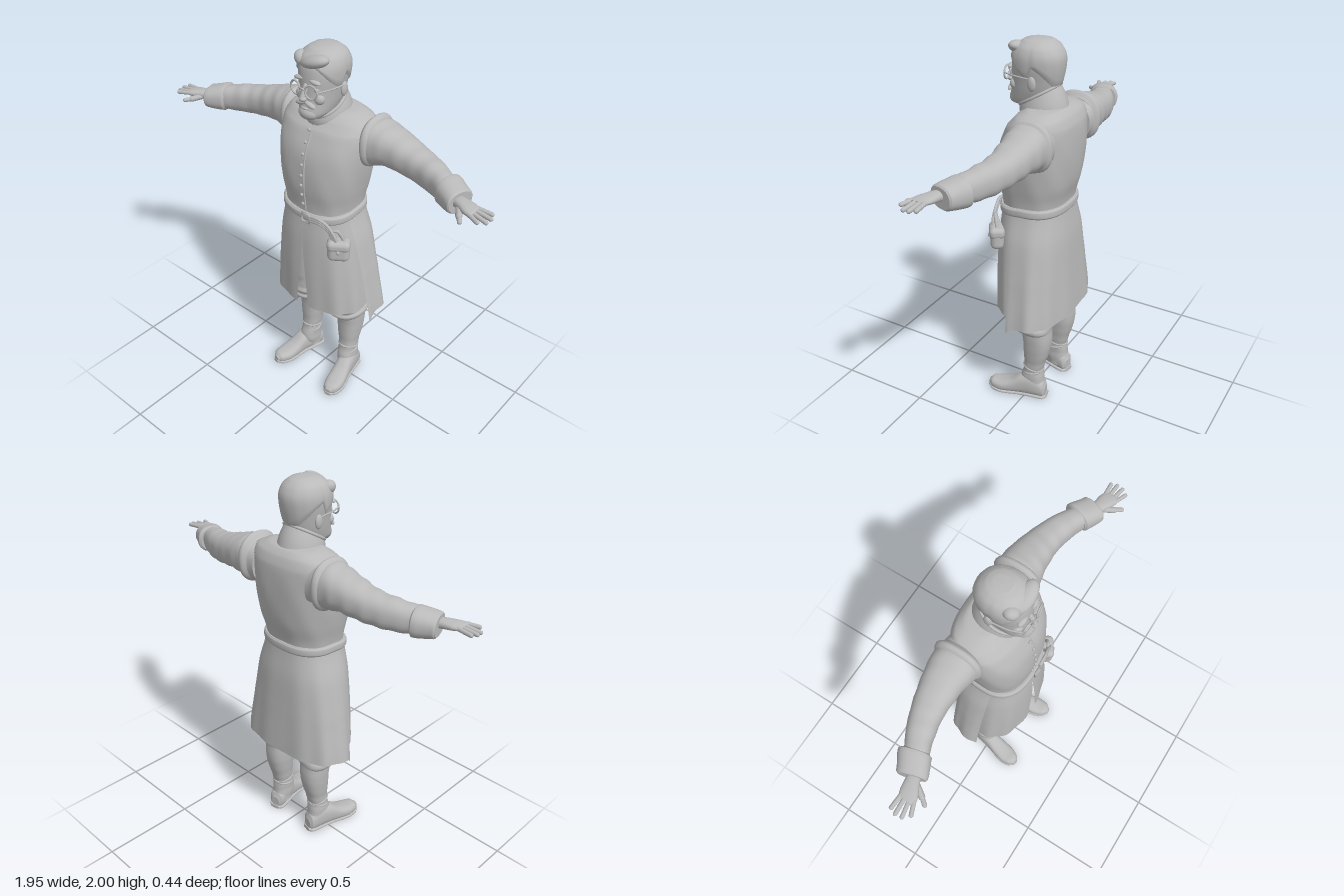
import * as THREE from 'three';
import { mergeGeometries } from 'three/addons/utils/BufferGeometryUtils.js';
import { RoundedBoxGeometry } from 'three/addons/geometries/RoundedBoxGeometry.js';

const grey = new THREE.MeshStandardMaterial({ color: 0xbababa, side: THREE.DoubleSide });
grey.name = 'clay grey';
const V = (x, y, z) => new THREE.Vector3(x, y, z);

// Smooth surface through rows of points; closed rows share their seam
function skin(rows, closed) {
  const n = rows[0].length, pos = [], idx = [];
  rows.forEach(r => r.forEach(p => pos.push(p.x, p.y, p.z)));
  for (let i = 0; i < rows.length - 1; i++) {
    for (let j = 0; j < (closed ? n : n - 1); j++) {
      const a = i * n + j, b = i * n + (j + 1) % n;
      idx.push(a, b, b + n, a, b + n, a + n);
    }
  }
  const g = new THREE.BufferGeometry();
  g.setAttribute('position', new THREE.Float32BufferAttribute(pos, 3));
  g.setIndex(idx);
  g.computeVertexNormals();
  return g;
}

// Keys: [along, centre, halfWidth, low, high]; smooth interpolation at a position
function sample(keys, y) {
  const up = keys[1][0] > keys[0][0];
  let i = 0;
  while (i < keys.length - 2 && (up ? y > keys[i + 1][0] : y < keys[i + 1][0])) i++;
  const f = (y - keys[i][0]) / (keys[i + 1][0] - keys[i][0]);
  const k = d => keys[Math.max(0, Math.min(keys.length - 1, i + d))];
  return keys[i].map((_, c) => {
    if (c === 0) return y;
    const m0 = (k(1)[c] - k(-1)[c]) / 2, m1 = (k(2)[c] - k(0)[c]) / 2;
    const f2 = f * f, f3 = f2 * f;
    return (2 * f3 - 3 * f2 + 1) * k(0)[c] + (f3 - 2 * f2 + f) * m0 + (3 * f2 - 2 * f3) * k(1)[c] + (f3 - f2) * m1;
  });
}
const pw = (v, p) => Math.sign(v) * Math.pow(Math.abs(v), p);

// Point of a rounded section at angle a (0 faces the "high" side)
function sectionPoint(keys, y, a, p = 0.85, s = 1) {
  const [, c, w, lo, hi] = sample(keys, y);
  return V(c + s * w * pw(Math.sin(a), p), y, (lo + hi) / 2 + s * (hi - lo) / 2 * pw(Math.cos(a), p));
}

// Capped body along an axis: y (x, z), x (z, y) or z (y, x)
function loft(keys, { axis = 'y', p = 0.85, n = 32, steps = 5, fold = null } = {}) {
  const map = { y: q => q, x: q => V(q.y, q.z, q.x), z: q => V(q.z, q.x, q.y) }[axis];
  const ys = [];
  for (let i = 0; i < keys.length - 1; i++) {
    for (let k = 0; k < steps; k++) ys.push(THREE.MathUtils.lerp(keys[i][0], keys[i + 1][0], k / steps));
  }
  ys.push(keys[keys.length - 1][0]);
  const row = (y, s) => Array.from({ length: n }, (_, j) => {
    const a = j / n * Math.PI * 2;
    return map(sectionPoint(keys, y, a, p, s * (fold ? fold(y, a) : 1)));
  });
  const e = ys[ys.length - 1];
  return skin([row(ys[0], 0), row(ys[0], 1), ...ys.map(y => row(y, 1)), row(e, 1), row(e, 0)], true);
}

const tube = (pts, r, closed = false) => new THREE.TubeGeometry(
  new THREE.CatmullRomCurve3(pts.map(p => V(...p)), closed), closed ? 48 : 16, r, 8, closed);
const ball = (x, y, z, rx, ry, rz) => new THREE.SphereGeometry(1, 20, 14).scale(rx, ry, rz).translate(x, y, z);
const capsule = (a, b, r) => {
  const A = V(...a), d = V(...b).sub(A);
  const q = new THREE.Quaternion().setFromUnitVectors(V(0, 1, 0), d.clone().normalize());
  return new THREE.CapsuleGeometry(r, d.length(), 4, 10).applyQuaternion(q).translate(...A.addScaledVector(d, 0.5).toArray());
};
const merge = list => mergeGeometries(list.map(g => {
  const m = g.index ? g.toNonIndexed() : g;
  m.deleteAttribute('uv');
  return m;
}));
// Mirror across x and restore the face order
function mirrored(geo) {
  const g = geo.index ? geo.toNonIndexed() : geo.clone();
  g.scale(-1, 1, 1);
  for (const at of Object.values(g.attributes)) {
    for (let i = 0; i < at.count; i += 3) {
      for (let c = 0; c < at.itemSize; c++) {
        const t = at.getComponent(i + 1, c);
        at.setComponent(i + 1, c, at.getComponent(i + 2, c));
        at.setComponent(i + 2, c, t);
      }
    }
  }
  return g;
}

export function createModel() {
  const model = new THREE.Group();
  model.name = 'coatedMan';
  const add = (name, geo) => {
    const m = new THREE.Mesh(geo, grey);
    m.name = name;
    model.add(m);
  };
  const pair = (name, geo) => { add(name + 'Left', geo); add(name + 'Right', mirrored(geo)); };

  // Coat body
  const torso = [[1.14, 0, .2, -.165, .168], [1.2, 0, .203, -.165, .17], [1.3, 0, .222, -.19, .182],
    [1.4, 0, .238, -.202, .18], [1.5, 0, .248, -.206, .163], [1.6, 0, .25, -.2, .118],
    [1.65, 0, .225, -.18, .07], [1.68, 0, .15, -.15, .03], [1.69, 0, .06, -.1, 0]];
  add('coatBody', loft(torso, { p: .8, n: 48, fold: (y, a) => 1 + .006 * Math.sin(a * 9 + y * 22) * (y < 1.6 ? 1 : 0) }));
  const frontAt = y => sample(torso, y)[4];
  add('coatSeam', tube([1.16, 1.25, 1.35, 1.45, 1.55, 1.63].map(y => [.014, y, frontAt(y) - .001]), .005));
  add('buttons', merge(Array.from({ length: 8 }, (_, i) => {
    const y = 1.21 + i * .056;
    return ball(0, y, frontAt(y) + .004, .009, .009, .007);
  })));

  // Coat skirt: two front panels and one flared back panel
  const front = [[1.17, 0, .2, -.16, .17], [1, 0, .232, -.18, .186], [.8, 0, .256, -.19, .192], [.56, 0, .278, -.2, .19]];
  const back = [[1.17, 0, .2, -.166, .165], [1, 0, .25, -.188, .165], [.8, 0, .29, -.2, .15], [.5, 0, .336, -.216, .14]];
  const panel = (keys, from, to, hem, nu) => skin(Array.from({ length: 25 }, (_, i) =>
    Array.from({ length: nu + 1 }, (_, j) => {
      const u = j / nu, t = i / 24, y = THREE.MathUtils.lerp(hem(u), 1.17, t);
      const gap = Math.max(0, (1 - y) / .43) * .038 + .001;
      const a0 = from === null ? Math.pow(gap / sample(keys, y)[2], 1 / .8) : from;
      const a = THREE.MathUtils.lerp(a0, to, u);
      return sectionPoint(keys, y, a, .8, 1 + .018 * (1 - t) * Math.sin(a * 11));
    })), false);
  pair('frontSkirt', panel(front, null, 1.62, u => .565 + .015 * u * u, 24));
  add('backSkirt', panel(back, 1.3, 2 * Math.PI - 1.3, u => .55 - .045 * Math.pow(Math.abs(2 * u - 1), 14), 72));

  // Belt, buckle, hanging strap and pouch
  const belt = [[1.143, 0, .208, -.17, .177], [1.152, 0, .214, -.176, .183], [1.18, 0, .214, -.176, .184], [1.19, 0, .207, -.17, .177]];
  const beltGeo = loft(belt, { p: .8, n: 48 });
  const bp = beltGeo.attributes.position;
  for (let i = 0; i < bp.count; i++) bp.setY(i, bp.getY(i) - .13 * Math.max(0, bp.getZ(i)));
  add('belt', beltGeo);
  add('buckle', new THREE.TorusGeometry(.033, .006, 8, 4).rotateZ(Math.PI / 4).translate(.03, 1.145, .19));
  add('beltStrap', merge([0, .012, .024].map(d => tube([[.05, 1.135 + d, .185], [.11, 1.14 + d, .182], [.155, 1.12 + d, .172],
    [.175 + d, 1.09, .165], [.185 + d, 1.05, .16]], .008))));
  const pouch = [new RoundedBoxGeometry(.115, .115, .07, 4, .03).translate(0, -.005, 0),
    new RoundedBoxGeometry(.12, .06, .08, 4, .025).translate(0, .03, 0), ball(0, .005, .04, .01, .012, .006)];
  add('pouch', merge(pouch).rotateY(.6).translate(.205, 1.005, .14));
  add('pouchLoop', tube([[.18, 1.05, .14], [.17, 1.1, .165], [.2, 1.12, .15], [.23, 1.05, .12]], .009));

  // Collar, slanting down towards the front
  const collarRow = (t, g = 0) => Array.from({ length: 40 }, (_, j) => {
    const a = j / 40 * Math.PI * 2, c = Math.cos(a);
    return V((.112 - .02 * t + g) * Math.sin(a), 1.635 + .09 * t - (.035 + .025 * t) * c, -.03 + .03 * t + (.118 - .016 * t + g) * c);
  });
  add('collar', skin([0, .25, .5, .75, 1].map(t => collarRow(t, .006 * Math.sin(t * Math.PI))), true));
  add('collarRim', tube(collarRow(1).map(p => p.toArray()), .008, true));
  add('neck', loft([[1.6, 0, .08, -.1, .06], [1.68, 0, .075, -.09, .075], [1.78, 0, .072, -.085, .07]]));

  // Sleeves with wrinkles, shoulder seams and cuffs
  pair('sleeve', loft([[.18, -.08, .1, 1.44, 1.64], [.27, -.08, .112, 1.44, 1.665], [.35, -.085, .1, 1.457, 1.645],
    [.5, -.075, .08, 1.445, 1.603], [.62, -.043, .07, 1.436, 1.583], [.74, .005, .06, 1.44, 1.56]],
  { axis: 'x', steps: 10, fold: (x, a) => 1 + .028 * Math.sin(x * 75 + 2 * Math.sin(a)) * Math.cos(a - .6) }));
  pair('shoulderSeam', loft([[.215, -.08, .1, 1.44, 1.655], [.24, -.08, .122, 1.425, 1.682], [.26, -.08, .122, 1.428, 1.678],
    [.278, -.08, .108, 1.445, 1.655]], { axis: 'x' }));
  const cuff = loft([[.685, -.015, .064, 1.438, 1.562], [.695, -.012, .074, 1.43, 1.572], [.75, .012, .072, 1.432, 1.562],
    [.795, .03, .069, 1.438, 1.552], [.803, .034, .062, 1.445, 1.545]], { axis: 'x' });
  const cp = cuff.attributes.position;
  for (let i = 0; i < cp.count; i++) cp.setX(i, cp.getX(i) - .3 * (cp.getZ(i) - .015));
  cuff.computeVertexNormals();
  pair('cuff', cuff);

  // Hands, palms down
  const hand = [loft([[.76, .035, .032, 1.475, 1.525], [.81, .05, .036, 1.482, 1.528], [.86, .066, .045, 1.488, 1.525],
    [.89, .074, .043, 1.494, 1.52], [.9, .076, .036, 1.498, 1.516]], { axis: 'x', n: 20 })];
  [[.885, .042, .955, .037], [.89, .063, .967, .066], [.885, .085, .963, .098], [.875, .104, .937, .128]].forEach(
    ([x, z, x2, z2], i) => hand.push(capsule([x, 1.508, z], [x2, 1.503 - .003 * (i % 3), z2], .0105)));
  hand.push(capsule([.815, 1.496, .075], [.845, 1.488, .12], .015), capsule([.845, 1.488, .12], [.868, 1.485, .15], .011));
  pair('hand', merge(hand));

  // Breeches gathered below the knee
  pair('breeches', loft([[.44, .137, .078, -.125, .035], [.46, .137, .096, -.14, .07], [.485, .135, .102, -.142, .092],
    [.505, .134, .093, -.134, .088], [.53, .132, .101, -.14, .104], [.56, .13, .094, -.132, .095], [.62, .128, .098, -.135, .1],
    [.8, .118, .1, -.14, .11], [1, .105, .1, -.14, .12], [1.15, .095, .09, -.13, .12]],
  { fold: (y, a) => 1 + .02 * Math.sin(y * 70 + a * 3) }));

  // Tall boots: shaft, turned-out foot and sole
  pair('bootShaft', loft([[.04, .143, .048, -.1, .01], [.11, .142, .05, -.1, .035], [.17, .14, .049, -.094, .021],
    [.22, .139, .052, -.102, .014], [.3, .138, .063, -.126, .016], [.38, .137, .071, -.14, .018], [.47, .137, .074, -.138, .03]],
  { fold: (y, a) => 1 + .02 * Math.sin(y * 95 + Math.sin(a)) * (y < .25 ? 1 : .2) }));
  pair('bootCreases', merge([.165, .195].map((y, i) => tube([0, 1, 2, 3, 4, 5, 6, 7].map(k => {
    const a = k * Math.PI / 4;
    return [.14 + .05 * Math.sin(a), y + .012 * Math.cos(a) * (i ? 1 : -1), -.038 + .056 * Math.cos(a)];
  }), .006, true))));
  const turn = g => g.translate(0, 0, .04).rotateY(.2).translate(.147, 0, -.04);
  pair('foot', turn(loft([[-.112, .045, .03, -.025, .025], [-.1, .055, .05, -.042, .042], [-.04, .075, .07, -.049, .05],
    [.03, .067, .062, -.044, .05], [.09, .047, .043, -.048, .054], [.15, .037, .033, -.05, .056],
    [.2, .036, .028, -.037, .042], [.222, .034, .014, -.016, .018]], { axis: 'z', p: .8 })));
  pair('sole', turn(loft([[-.118, .01, .01, -.028, .028], [-.1, .01, .01, -.046, .046], [-.03, .01, .01, -.045, .045],
    [.04, .01, .01, -.042, .047], [.14, .01, .01, -.054, .06], [.2, .012, .01, -.04, .045],
    [.226, .016, .009, -.016, .018]], { axis: 'z', p: .6 })));

  // Head
  const head = [[1.663, 0, .03, .05, .13], [1.675, 0, .055, .01, .15], [1.7, 0, .076, -.05, .156], [1.75, 0, .09, -.09, .147],
    [1.81, 0, .1, -.108, .142], [1.87, 0, .109, -.118, .14], [1.92, 0, .109, -.117, .132], [1.96, 0, .094, -.096, .11],
    [1.985, 0, .064, -.065, .075], [1.994, 0, .03, -.03, .04]];
  add('head', loft(head, { p: .92, n: 40 }));
  // Hair shell with its edge low at the nape and high at the brow
  const edge = a => 1.845 + .055 * Math.cos(a) - .035 * Math.cos(2 * a) * (Math.cos(a) < 0 ? 1 : -1);
  add('hair', skin(Array.from({ length: 17 }, (_, i) => Array.from({ length: 48 }, (_, j) => {
    const a = j / 48 * Math.PI * 2, t = i / 16, y = THREE.MathUtils.lerp(edge(a), 1.993, 1 - (1 - t) ** 2);
    const q = sectionPoint(head, y, a, .92, i === 16 ? 0 : i ? 1.06 + .006 * Math.sin(a * 14 + t * 5) : .97);
    return q.setY(q.y + .006 * t);
  })), true));
  add('forelock', merge([ball(0, 0, 0, .082, .032, .045).rotateZ(.3).translate(.02, 1.945, .1),
    ball(0, 0, 0, .045, .034, .04).rotateZ(-.6).translate(-.065, 1.935, .085)]));
  pair('ear', ball(.104, 1.8, -.01, .012, .036, .022));

  // Face, beard and spectacles
  add('nose', merge([capsule([0, 1.835, .138], [0, 1.785, .164], .014), ball(0, 1.78, .163, .02, .014, .017)]));
  pair('brow', ball(0, 0, 0, .034, .011, .016).rotateZ(-.12).translate(.045, 1.862, .128));
  pair('cheek', ball(.05, 1.775, .108, .032, .03, .026));
  pair('eye', ball(.045, 1.822, .12, .02, .013, .014));
  pair('moustache', ball(0, 0, 0, .035, .013, .015).rotateZ(-.3).translate(.026, 1.75, .143));
  add('beard', merge([ball(0, 1.698, .12, .055, .038, .042), ball(0, 1.727, .15, .022, .007, .008)]));
  pair('lensRim', new THREE.TorusGeometry(.033, .0045, 8, 28).rotateY(.15).translate(.047, 1.822, .158));
  pair('templeArm', tube([[.08, 1.828, .153], [.103, 1.828, .09], [.112, 1.825, 0]], .004));
  add('bridge', tube([[-.015, 1.826, .164], [0, 1.834, .17], [.015, 1.826, .164]], .004));
  return model;
}
